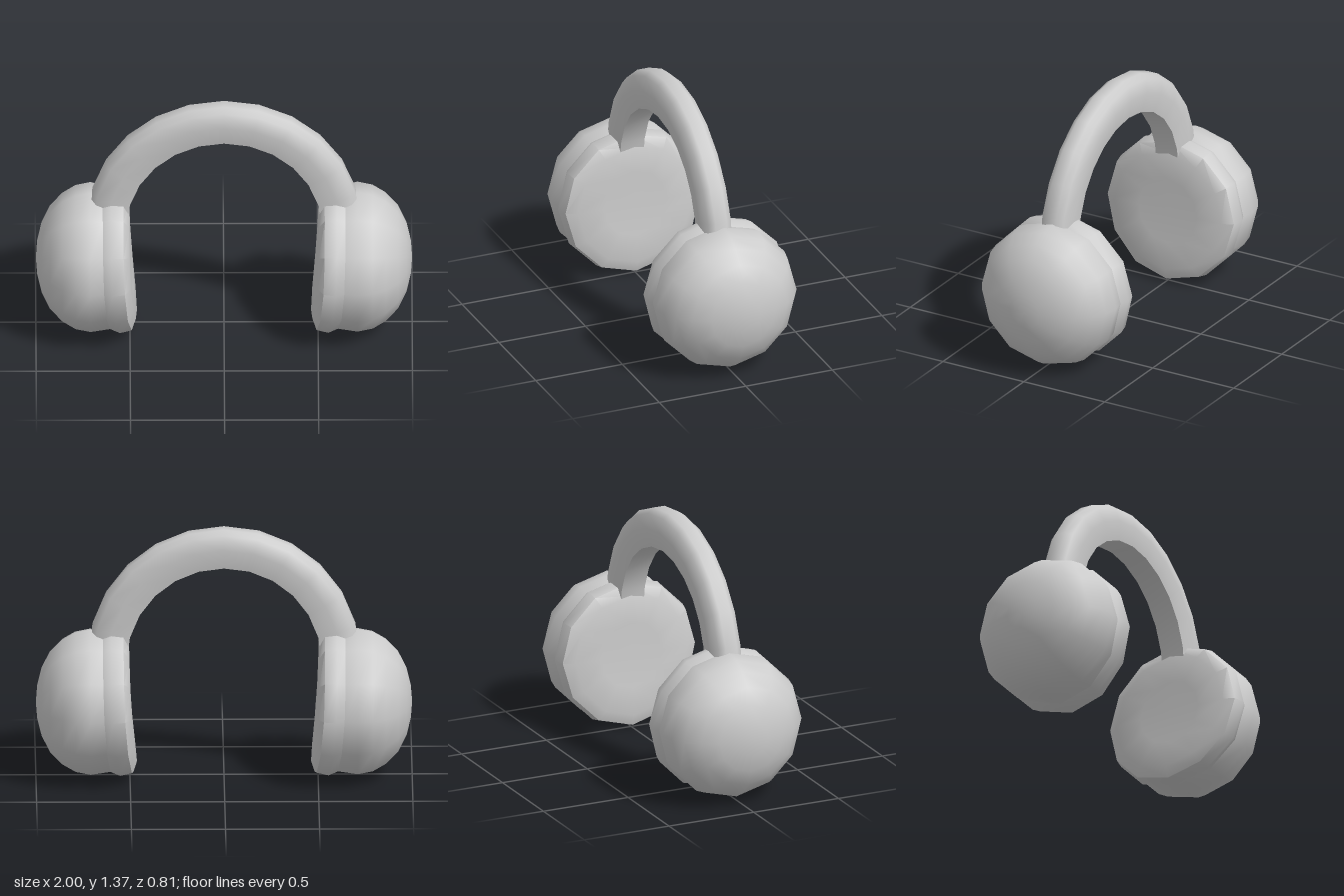
import * as THREE from 'three';
import { toCreasedNormals } from 'three/addons/utils/BufferGeometryUtils.js';

const CUP_Y = 0.405;
const CREASE = THREE.MathUtils.degToRad(50);
const points = (list) => list.map(([r, h]) => new THREE.Vector2(r, h));

// Twelve-sided turned part along x; its lower rim curls inward toward the wearer
function turnedPart(name, profile, material) {
  const geometry = new THREE.LatheGeometry(points(profile), 12);
  geometry.rotateZ(-Math.PI / 2);
  geometry.translate(0, CUP_Y, 0);
  const position = geometry.attributes.position;
  for (let i = 0; i < position.count; i++) {
    const x = position.getX(i);
    const drop = Math.max(0, (0.81 - position.getY(i)) / 0.81);
    const weight = THREE.MathUtils.clamp((0.71 - x) / 0.07, 0, 1);
    position.setX(i, x - 0.057 * drop ** 3 * weight);
  }
  const mesh = new THREE.Mesh(toCreasedNormals(geometry, CREASE), material);
  mesh.name = name;
  return mesh;
}

function earpiece(name, material) {
  const group = new THREE.Group();
  group.name = name;
  // Domed outer shell
  group.add(turnedPart('cupShell', [
    [0.383, 0.645], [0.399, 0.71], [0.383, 0.79], [0.342, 0.86],
    [0.275, 0.925], [0.185, 0.97], [0.09, 0.993], [0, 1.0],
  ], material));
  // Cushion with a flat inner face and rounded rim
  group.add(turnedPart('earCushion', [
    [0, 0.502], [0.18, 0.502], [0.33, 0.505], [0.39, 0.535],
    [0.405, 0.6], [0.383, 0.645],
  ], material));
  return group;
}

// Half-ring band: rounded outside, flat inside
function headband(material) {
  const R = 0.621;
  const section = [
    [-0.103, -0.068], [0, -0.085], [0.077, -0.066], [0.102, -0.033],
    [0.102, 0.033], [0.077, 0.066], [0, 0.085], [-0.103, 0.068], [-0.103, -0.068],
  ].map(([r, h]) => [R + r, h]);
  const geometry = new THREE.LatheGeometry(points(section), 12, -Math.PI / 2, Math.PI);
  geometry.rotateX(-Math.PI / 2);
  geometry.translate(0, 0.642, 0.013);
  const mesh = new THREE.Mesh(toCreasedNormals(geometry, CREASE), material);
  mesh.name = 'headband';
  return mesh;
}

export function createModel() {
  const model = new THREE.Group();
  model.name = 'headphones';
  const grey = new THREE.MeshStandardMaterial({ color: 0xcccccc });
  grey.name = 'lightGrey';

  const left = earpiece('leftEarpiece', grey);
  const right = earpiece('rightEarpiece', grey);
  right.rotation.y = Math.PI;
  model.add(headband(grey), left, right);
  return model;
}
